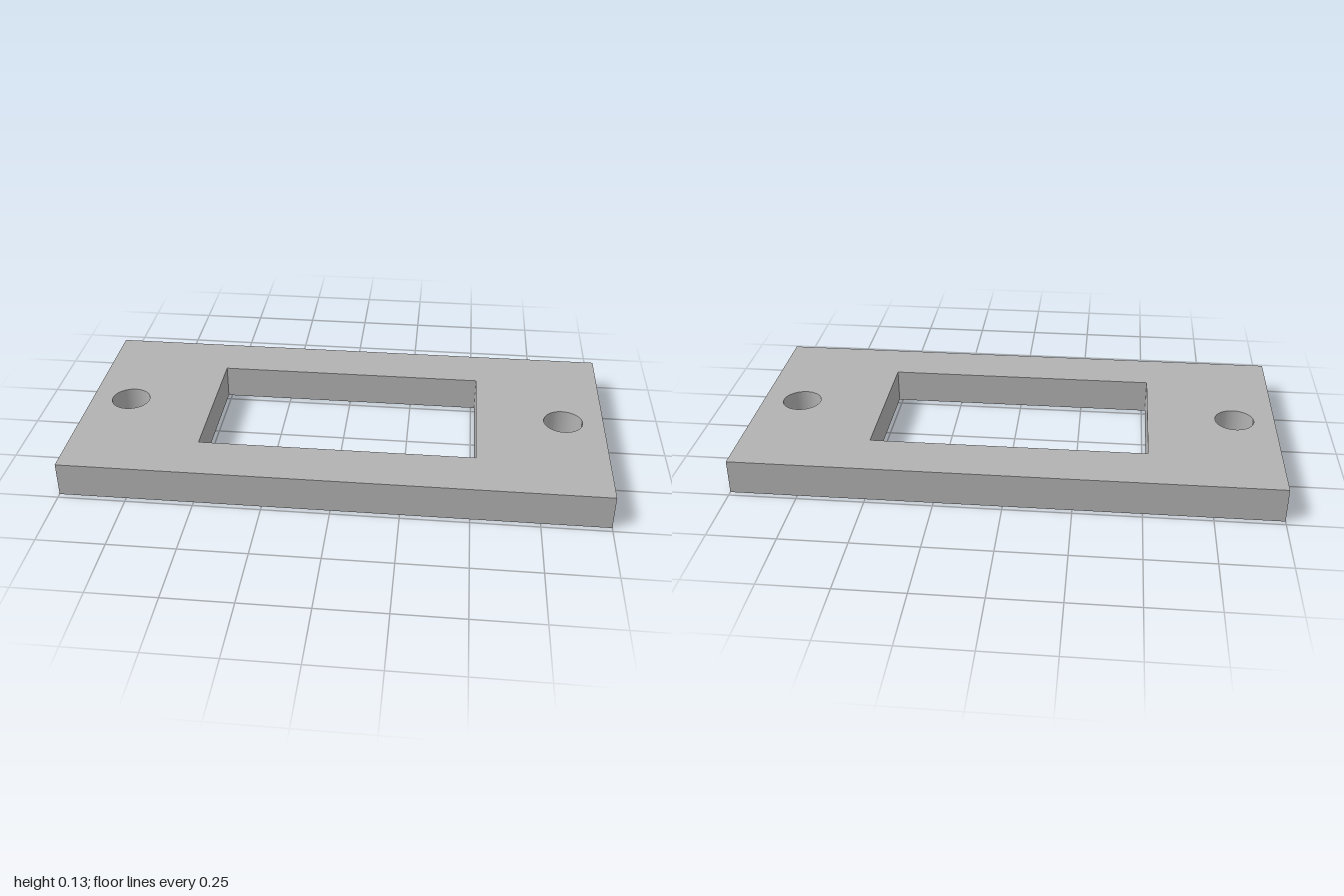
import * as THREE from 'three';
import { toCreasedNormals } from 'three/addons/utils/BufferGeometryUtils.js';

const WIDTH = 2, DEPTH = 0.96, HEIGHT = 0.13;
const WINDOW_WIDTH = 1.03, WINDOW_DEPTH = 0.56;
const HOLE_X = 0.847, HOLE_RADIUS = 0.074;

// Traces a centred rectangle on a shape or path
function rectangle(path, w, d) {
  path.moveTo(-w / 2, -d / 2);
  path.lineTo(w / 2, -d / 2);
  path.lineTo(w / 2, d / 2);
  path.lineTo(-w / 2, d / 2);
  path.closePath();
  return path;
}

export function createModel() {
  const group = new THREE.Group();
  group.name = 'mountingPlate';
  const grey = new THREE.MeshStandardMaterial({ color: 0xb2b2b2 });
  grey.name = 'grey';

  // Plate outline with the central window
  const outline = rectangle(new THREE.Shape(), WIDTH, DEPTH);
  outline.holes.push(rectangle(new THREE.Path(), WINDOW_WIDTH, WINDOW_DEPTH));

  // Screw hole at each end
  for (const side of [-1, 1]) {
    const hole = new THREE.Path();
    hole.absarc(side * HOLE_X, 0, HOLE_RADIUS, 0, Math.PI * 2, true);
    outline.holes.push(hole);
  }

  // Extrude upwards, with smooth hole walls and sharp edges
  const extruded = new THREE.ExtrudeGeometry(outline, {
    depth: HEIGHT, bevelEnabled: false, curveSegments: 48,
  });
  extruded.rotateX(-Math.PI / 2);
  const plate = new THREE.Mesh(toCreasedNormals(extruded, Math.PI / 6), grey);
  plate.name = 'plate';
  group.add(plate);
  return group;
}
